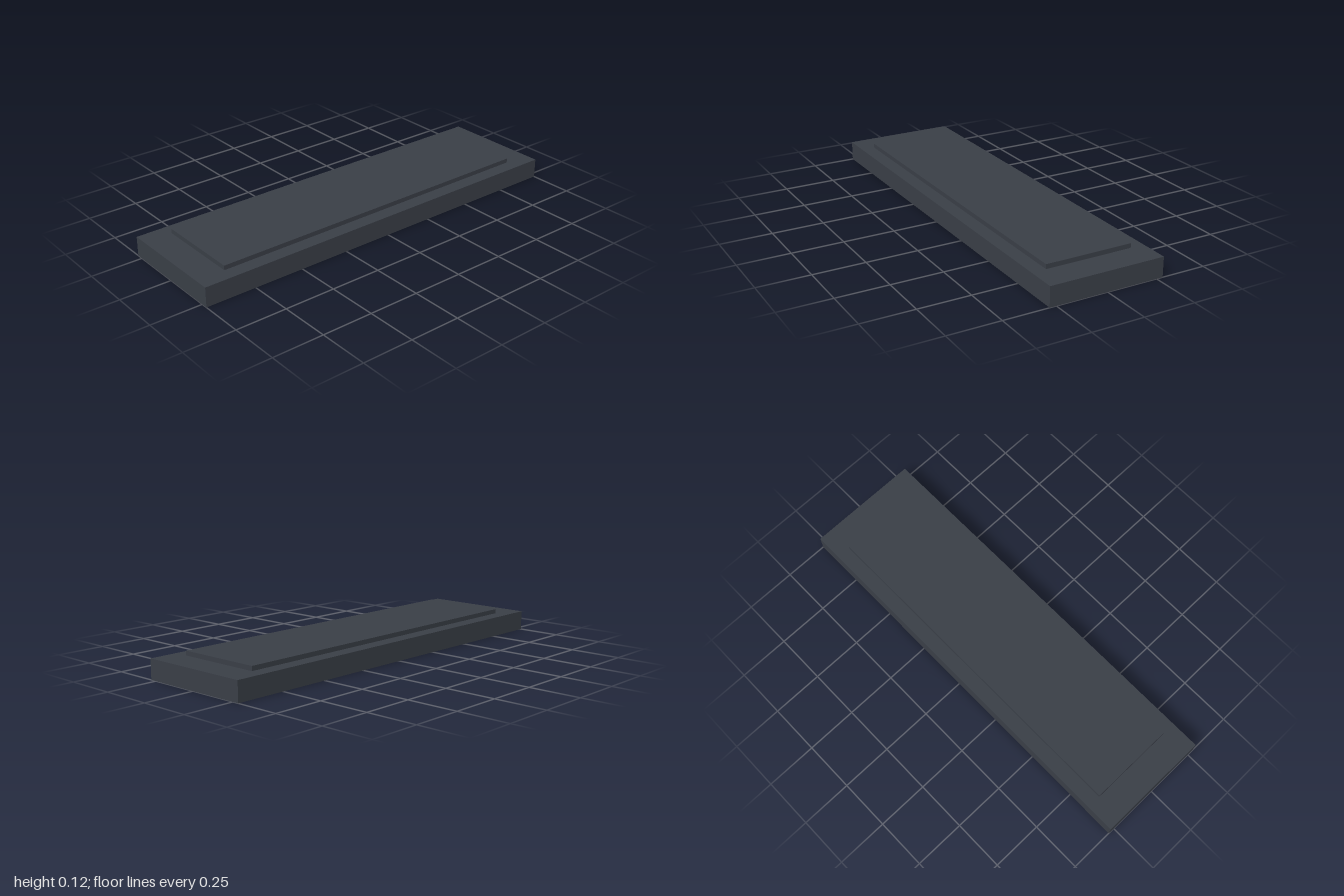
import * as THREE from 'three';

const make = (name, hex) => {
  const m = new THREE.MeshStandardMaterial({ color: hex });
  m.name = name;
  return m;
};

export function createModel() {
  const model = new THREE.Group();
  model.name = 'ceilingLight';
  const housing = make('dark slate', 0x393e46);
  const glass = make('pale tube', 0xd6dadc);
  const copper = make('copper', 0xb0662e);

  const add = (name, geometry, material, x = 0, y = 0, z = 0) => {
    const mesh = new THREE.Mesh(geometry, material);
    mesh.name = name;
    mesh.position.set(x, y, z);
    model.add(mesh);
    return mesh;
  };
  const box = (name, w, h, d, x, y, z) =>
    add(name, new THREE.BoxGeometry(w, h, d), housing, x, y, z);

  // Open-bottomed housing: a rectangular rim closed by a ceiling plate
  const rect = (path, x, z) =>
    path.moveTo(-x, -z).lineTo(x, -z).lineTo(x, z).lineTo(-x, z).closePath();
  const rim = new THREE.Shape();
  rect(rim, 1, 0.282);
  const opening = new THREE.Path();
  rect(opening, 0.965, 0.25);
  rim.holes.push(opening);
  const rimGeometry = new THREE.ExtrudeGeometry(rim, { depth: 0.096, bevelEnabled: false });
  rimGeometry.rotateX(-Math.PI / 2);
  add('housingRim', rimGeometry, housing);
  box('ceilingPlate', 1.93, 0.012, 0.5, 0, 0.09, 0);

  // Raised mounting plate on top
  box('topPlate', 1.72, 0.022, 0.426, 0, 0.107, 0);

  // Four tubes with copper end caps
  const tube = new THREE.CylinderGeometry(0.026, 0.026, 1.78, 12).rotateZ(Math.PI / 2);
  const cap = new THREE.CylinderGeometry(0.023, 0.023, 0.06, 12).rotateZ(Math.PI / 2);
  for (const z of [-0.165, -0.055, 0.055, 0.165]) {
    add('lightTube', tube, glass, 0, 0.052, z);
    for (const side of [-1, 1]) add('tubeCap', cap, copper, side * 0.915, 0.052, z);
  }

  // Protective grille: long bars between the tubes and six cross bars
  for (const z of [-0.11, 0, 0.11]) box('longBar', 1.93, 0.02, 0.014, 0, 0.016, z);
  for (let i = 0; i < 6; i++) box('crossBar', 0.026, 0.022, 0.5, (i - 2.5) * 0.286, 0.014, 0);

  return model;
}
